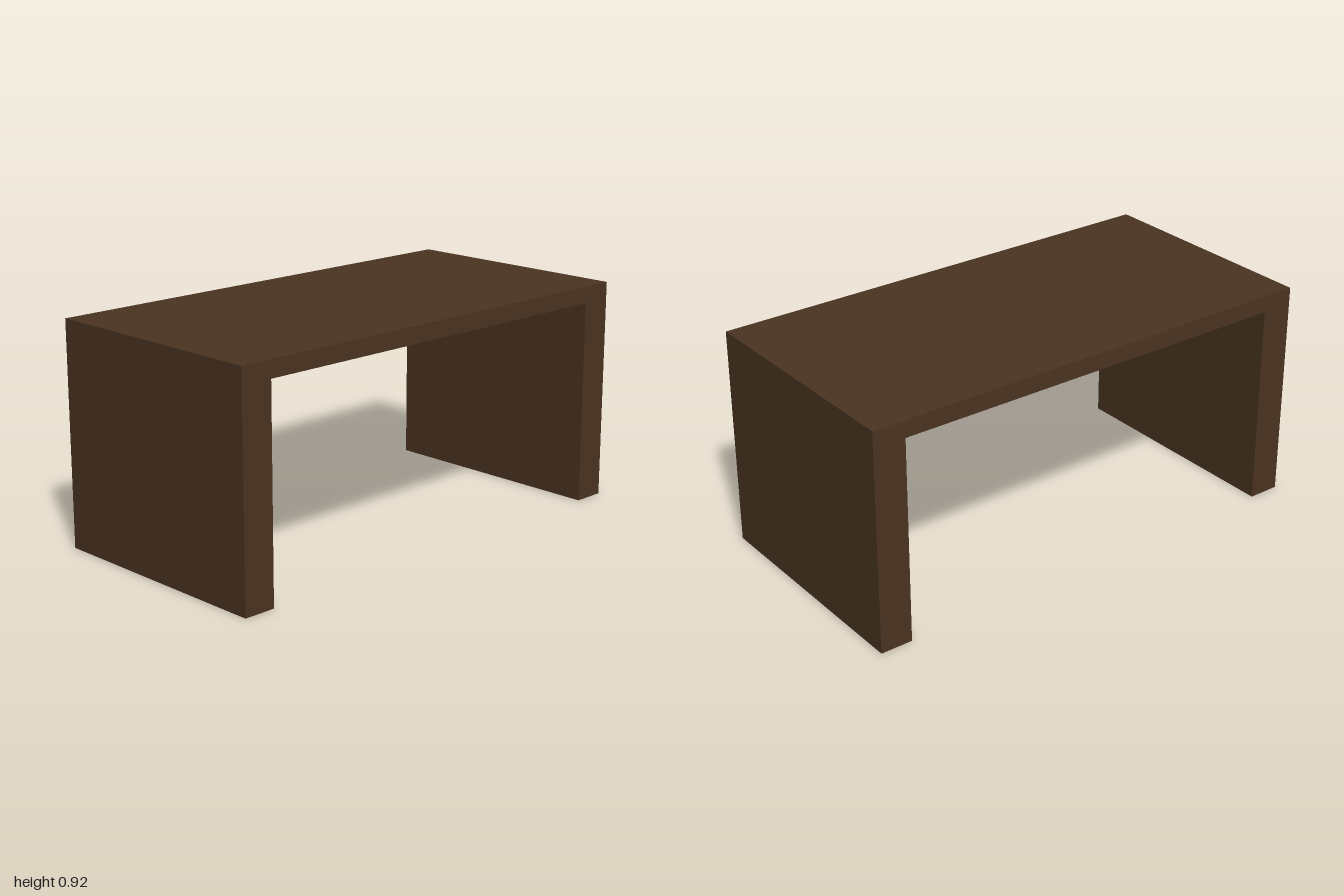
import * as THREE from 'three';

const WIDTH = 1.01, LENGTH = 2, HEIGHT = 0.92;
const TOP_THICKNESS = 0.07, LEG_THICKNESS = 0.135;

export function createModel() {
  const model = new THREE.Group();
  model.name = 'table';
  const darkWood = new THREE.MeshStandardMaterial({ color: 0x4b3422 });
  darkWood.name = 'dark wood';

  const addBox = (name, w, h, d, y, z) => {
    const mesh = new THREE.Mesh(new THREE.BoxGeometry(w, h, d), darkWood);
    mesh.name = name;
    mesh.position.set(0, y, z);
    model.add(mesh);
  };

  // Flat slab spanning the full length
  addBox('tableTop', WIDTH, TOP_THICKNESS, LENGTH, HEIGHT - TOP_THICKNESS / 2, 0);

  // Full-width panel legs at both ends
  const legHeight = HEIGHT - TOP_THICKNESS;
  for (const [name, side] of [['frontLeg', 1], ['backLeg', -1]]) {
    addBox(name, WIDTH, legHeight, LEG_THICKNESS, legHeight / 2, side * (LENGTH - LEG_THICKNESS) / 2);
  }
  return model;
}
